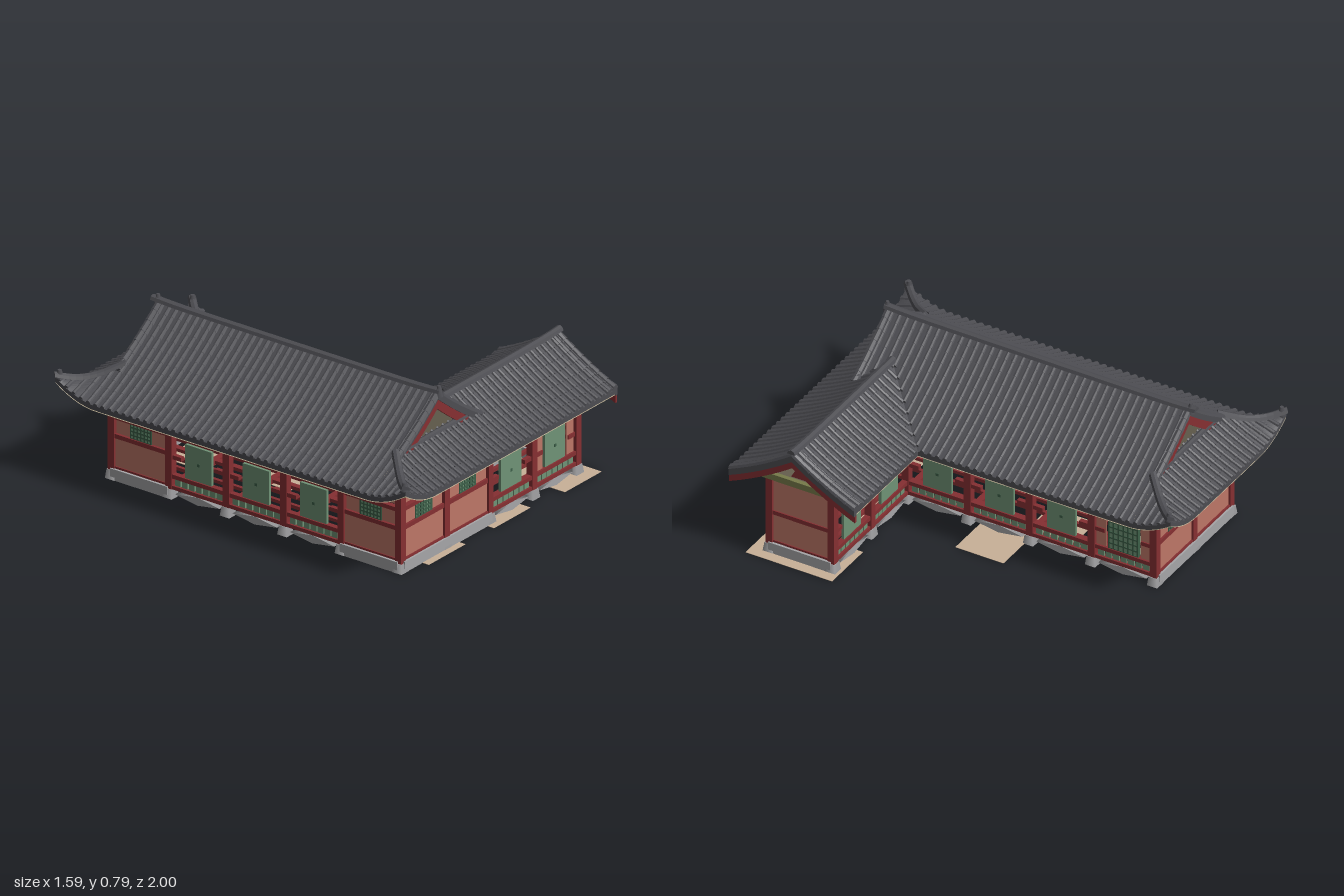
import * as THREE from 'three';

const mat = (name, color, side = THREE.FrontSide) => {
  const m = new THREE.MeshStandardMaterial({ color, side });
  m.name = name;
  return m;
};
const D = THREE.DoubleSide;
const M = {
  tile: mat('charcoal tile', 0x4d4d52, D), red: mat('red timber', 0x862f32), salmon: mat('salmon plaster', 0xbe7767),
  door: mat('green door', 0x709376), lattice: mat('dark green lattice', 0x3d6049), stone: mat('grey stone', 0xa6a6a8),
  slab: mat('beige slab', 0xc9b198), tan: mat('tan soffit', 0xb3a68a, D), olive: mat('olive rafter', 0x777b4a, D),
  gable: mat('olive grey gable', 0x666050),
};

// Roof outline: main hall with hipped gables, and a wing towards +x
const W = -0.785, E = 0.225, ZE = 0.985, CX = -0.28, HALF = 0.505;
const WING0 = 0.33, WINGH = 0.3275, WINGX = 0.775, GZ = 0.78;
const PITCH = 0.323;
const X = [0, 1, 2, 3, 4].map(i => -0.605 + PITCH * i);
const Z = [0, 1, 2, 3, 4, 5].map(i => 0.82 - PITCH * i);

// Concave slope height at distance d from the eave, with sharply upturned corners
const H = d => 0.43 + 0.43 * d + 0.4 * d * d;
const corners = [[W, ZE], [W, -ZE], [E, -ZE]];
const lift = (x, z) => corners.reduce((s, [a, b]) => s + 0.08 * Math.max(0, 1 - Math.hypot(x - a, z - b) / 0.23) ** 2, 0);
const P = (x, z, d, off = 0) => new THREE.Vector3(x, H(d) + lift(x, z) + off, z);
const path = (n, f) => Array.from({ length: n + 1 }, (_, i) => f(i / n));

function quad(pos, a, b, c, d) {
  for (const p of [a, b, c, a, c, d]) pos.push(p.x, p.y, p.z);
}
// Half-round roll along a path; each piece tapers like an overlapping tile
function roll(pos, pts, r, flip = 1, taper = 1) {
  const ring = (p, side, rad) => path(4, t => p.clone().addScaledVector(side, rad * Math.cos(Math.PI * t))
    .add(new THREE.Vector3(0, flip * rad * Math.sin(Math.PI * t), 0)));
  for (let i = 0; i + 1 < pts.length; i++) {
    const side = pts[i + 1].clone().sub(pts[i]).cross(new THREE.Vector3(0, 1, 0)).normalize();
    const A = ring(pts[i], side, r), B = ring(pts[i + 1], side, r * taper);
    for (let k = 0; k < 4; k++) quad(pos, A[k], A[k + 1], B[k + 1], B[k]);
    if (i === 0) quad(pos, A[0], A[1], A[2], A[4]), quad(pos, A[2], A[3], A[4], A[2]);
  }
}
function meshOf(parent, name, material, pos) {
  const g = new THREE.BufferGeometry();
  g.setAttribute('position', new THREE.Float32BufferAttribute(pos, 3));
  g.computeVertexNormals();
  return add(parent, name, material, g);
}
function add(parent, name, material, geo, p = [0, 0, 0]) {
  const m = new THREE.Mesh(geo, material);
  m.name = name;
  m.position.set(...p);
  parent.add(m);
  return m;
}
const box = (parent, name, material, size, p) => add(parent, name, material, new THREE.BoxGeometry(...size), p);

// One roof slope: tiled plate, tan soffit, rolls and rafters
function slope(parent, name, at, segs) {
  const plate = [], under = [], rolls = [], rafters = [];
  const point = (u, d, off) => { const [x, z] = at(u, d); return P(x, z, d, off); };
  for (const [u0, u1, lo, hi] of segs) {
    const L = u => (typeof lo === 'function' ? lo(u) : lo), T = u => (typeof hi === 'function' ? hi(u) : hi);
    const nu = Math.ceil((u1 - u0) / 0.04);
    const pt = (i, j, off) => {
      const u = u0 + (u1 - u0) * i / nu;
      return point(u, L(u) + (T(u) - L(u)) * j / 6, off);
    };
    for (let i = 0; i < nu; i++) {
      for (let j = 0; j < 6; j++) for (const [arr, off] of [[plate, 0], [under, -0.026]])
        quad(arr, pt(i, j, off), pt(i + 1, j, off), pt(i + 1, j + 1, off), pt(i, j + 1, off));
      if (lo === 0) quad(plate, pt(i, 0, 0), pt(i + 1, 0, 0), pt(i + 1, 0, -0.022), pt(i, 0, -0.022));
    }
    const n = Math.round((u1 - u0) / 0.04);
    for (let i = 0; i < n; i++) {
      const u = u0 + (u1 - u0) * (i + 0.5) / n, a = L(u), b = T(u);
      roll(rolls, path(Math.max(1, Math.round((b - a) / 0.045)), t => point(u, a + (b - a) * t, 0)), 0.0125, 1, 0.8);
      if (lo === 0) roll(rafters, path(3, t => point(u, 0.015 + (Math.min(b, 0.2) - 0.015) * t, -0.026)), 0.007, -1);
    }
  }
  meshOf(parent, name + 'Plate', M.tile, plate);
  meshOf(parent, name + 'Soffit', M.tan, under);
  meshOf(parent, name + 'TileRolls', M.tile, rolls);
  meshOf(parent, name + 'Rafters', M.olive, rafters);
}

// Gable facing local +z: infill wall, red bargeboards and a tile edge that follow the slope
function gable(parent, name, half, d0, base, wallMat, wallD, wallZ, boardZ, boardH) {
  const g = new THREE.Group();
  g.name = name;
  parent.add(g);
  const curve = (from, off) => [...path(6, t => from + (half - from) * t).map(d => [d - half, H(d) + off]),
    ...path(6, t => half - (half - from) * t).map(d => [half - d, H(d) + off])];
  const extrude = (pts, depth) => new THREE.ExtrudeGeometry(new THREE.Shape(pts.map(p => new THREE.Vector2(...p))), { depth, bevelEnabled: false });
  const band = (y0, y1, depth) => extrude([...curve(d0, y0), ...curve(d0, y1).reverse()], depth);
  add(g, 'gableWall', wallMat, extrude([[wallD - half, base], [half - wallD, base], ...curve(wallD, -0.02).reverse()], 0.008), [0, 0, wallZ]);
  add(g, 'bargeboards', M.red, band(-0.03 - boardH, -0.03, 0.012), [0, 0, boardZ]);
  add(g, 'vergeTiles', M.tile, band(-0.03, 0.006, 0.018), [0, 0, boardZ]);
  return g;
}

// One wall bay, facing local +z
function bay(parent, type, x, z, turn) {
  const g = new THREE.Group();
  g.name = type + 'Bay';
  g.position.set(x, 0, z);
  g.rotation.y = turn;
  parent.add(g);
  const w = PITCH - 0.034;
  const panel = (name, m, bw, y0, y1, px = 0, t = 0.014, pz = 0) => box(g, name, m, [bw, y1 - y0, t], [px, (y0 + y1) / 2, pz]);
  panel('topBeam', M.olive, PITCH, 0.39, 0.41, 0, 0.026);
  if (type !== 'solid') {
    panel('lintel', M.red, w, 0.376, 0.39, 0, 0.026);
    panel('frieze', M.tan, PITCH, 0.41, 0.48);
  }
  const latticeAt = (bw, y0, y1, nx, ny) => {
    panel('windowPane', M.door, bw, y0, y1, 0, 0.01);
    for (let i = 0; i <= nx; i++) panel('latticeBar', M.lattice, 0.008, y0, y1, bw * (i / nx - 0.5), 0.018);
    for (let j = 0; j <= ny; j++) {
      const y = y0 + (y1 - y0) * j / ny;
      panel('latticeBar', M.lattice, bw, y - 0.004, y + 0.004, 0, 0.018);
    }
  };
  if (type === 'window' || type === 'solid') {
    panel('stoneBase', M.stone, PITCH, 0, 0.055, 0, 0.05);
    panel('sill', M.red, w, 0.055, 0.065, 0, 0.026);
    panel('lowerPanel', M.salmon, w, 0.065, 0.205);
    panel('middleRail', M.red, w, 0.205, 0.226, 0, 0.028);
  }
  if (type === 'solid') panel('upperPanel', M.salmon, w, 0.226, 0.39);
  if (type === 'window') {
    latticeAt(0.115, 0.226, 0.3, 6, 4);
    for (const s of [-1, 1]) panel('sidePanel', M.salmon, 0.075, 0.23, 0.298, s * 0.1);
    panel('upperRail', M.red, w, 0.298, 0.318, 0, 0.028);
    panel('upperPanel', M.salmon, w, 0.332, 0.376);
  }
  if (type === 'open' || type === 'lattice' || type === 'jamb') {
    // Balustrade below, hung door leaf above, open gaps at the sides
    const foot = add(g, 'footStone', M.stone, new THREE.CylinderGeometry(1, 1, 0.03, 4).rotateX(Math.PI / 2), [0, 0.025, 0]);
    foot.scale.set(0.125, 0.02, 1);
    panel('floorBeam', M.red, w, 0.045, 0.063, 0, 0.03);
    panel('balustradeRail', M.red, w, 0.098, 0.118, 0, 0.028);
    for (let i = 0; i < 7; i++) panel('baluster', M.door, 0.032, 0.063, 0.098, (i - 3) * 0.039, 0.01);
    panel('upperPanel', M.salmon, w, 0.303, 0.376);
    if (type === 'lattice') latticeAt(0.15, 0.118, 0.292, 6, 6);
    else {
      panel('doorLeaf', M.door, 0.148, 0.118, 0.285, 0, 0.014);
      panel('doorHandle', M.lattice, 0.014, 0.193, 0.207, 0, 0.018);
    }
    for (const s of [-1, 1]) {
      panel('sideRail', M.red, 0.05, 0.192, 0.212, s * 0.12, 0.022);
      if (type !== 'open') panel('sidePanel', M.salmon, 0.05, 0.118, 0.285, s * 0.115, 0.008);
    }
  }
}

export function createModel() {
  const root = new THREE.Group();
  root.name = 'tiledHall';
  const group = name => { const g = new THREE.Group(); g.name = name; root.add(g); return g; };

  // Roof slopes
  const roof = group('roof');
  const wEnd = WING0 + WINGH, wStart = E - WINGH;
  slope(roof, 'eastSlope', (z, d) => [E - d, z], [[-ZE, -GZ, 0, u => u + ZE], [-GZ, WING0, 0, HALF],
    [WING0, wEnd, u => u - WING0, HALF], [wEnd, GZ, u => ZE - u, HALF]]);
  slope(roof, 'westSlope', (z, d) => [W + d, z], [[-ZE, -GZ, 0, u => u + ZE], [-GZ, GZ, 0, HALF], [GZ, ZE, 0, u => ZE - u]]);
  slope(roof, 'backApron', (x, d) => [x, d - ZE], [[W, W + 0.24, 0, u => u - W], [W + 0.24, E - 0.24, 0, 0.24], [E - 0.24, E, 0, u => E - u]]);
  slope(roof, 'frontSlope', (x, d) => [x, ZE - d], [[W, W + 0.24, 0, u => u - W], [W + 0.24, wStart, 0, 0.24], [wStart, WINGX, 0, WINGH]]);
  slope(roof, 'wingBackSlope', (x, d) => [x, WING0 + d], [[wStart, E, u => E - u, WINGH], [E, WINGX, 0, WINGH]]);

  // Ridges, hips and verges
  const caps = [];
  const V = (x, y, z) => new THREE.Vector3(x, y, z);
  roll(caps, path(24, t => V(CX, H(HALF) + 0.008 * Math.abs(2 * t - 1) ** 8, -0.82 + 1.62 * t)), 0.021);
  roll(caps, path(14, t => V(WINGX + 0.008 - 0.89 * t, H(WINGH) + 0.004 + 0.01 * (1 - t) ** 8, wEnd)), 0.021);
  for (const [x, z] of corners) {
    const sx = x < CX ? 1 : -1, sz = -Math.sign(z);
    roll(caps, path(10, t => { const d = -0.002 + 0.225 * t; return P(x + sx * d, z + sz * d, Math.max(d, 0), 0.01); }), 0.02);
    add(roof, 'hipFinial', M.tile, new THREE.CylinderGeometry(0.01, 0.02, 0.04, 6), [x + sx * 0.015, 0.525, z + sz * 0.015]);
  }
  for (const s of [-1, 1]) {
    for (const e of [-1, 1]) roll(caps, path(7, t => { const d = 0.19 + (HALF - 0.19) * t; return V(CX + s * (HALF - d), H(d) + 0.002, e * GZ); }), 0.02, 1, 0.85);
    roll(caps, path(7, t => V(WINGX - 0.01, H(WINGH * t) + 0.004, wEnd + s * WINGH * (1 - t))), 0.019, 1, 0.85);
    roll(caps, path(7, t => V(WINGX - 0.045, H(WINGH * t) + 0.002, wEnd + s * WINGH * (1 - t))), 0.015, 1, 0.85);
    roll(caps, path(10, t => V(W + 0.22 + 0.58 * t, H(0.215) + 0.008, s * (ZE - 0.215))), 0.015);
    add(roof, 'ridgeFinial', M.tile, new THREE.CylinderGeometry(0.008, 0.022, 0.05, 6), [CX, 0.763, s * 0.79]);
  }
  meshOf(roof, 'ridgeCaps', M.tile, caps);

  // Gables
  for (const turn of [0, Math.PI]) {
    const g = gable(roof, turn ? 'backGable' : 'frontGable', HALF, 0.215, 0.53, M.gable, 0.225, 0.742, 0.768, 0.048);
    g.position.x = CX;
    g.rotation.y = turn;
  }
  const wg = gable(roof, 'wingGable', WINGH, 0, 0.41, M.tan, 0.15, 0.69, 0.762, 0.036);
  wg.position.z = wEnd;
  wg.rotation.y = Math.PI / 2;
  add(wg, 'gableOrnament', M.red, new THREE.CylinderGeometry(0.052, 0.052, 0.008, 3).rotateX(-Math.PI / 2), [0, 0.475, 0.703]);
  box(wg, 'gableBeam', M.olive, [0.4, 0.032, 0.04], [0, 0.42, 0.7]);
  for (const s of [-1, 0, 1]) box(wg, 'purlin', M.olive, [0.024, 0.024, 0.07], [s * 0.17, s ? 0.45 : 0.55, 0.715]);

  // Wall bays
  const walls = group('walls');
  const mx = i => (X[i] + X[i + 1]) / 2, mz = i => (Z[i] + Z[i + 1]) / 2;
  ['window', 'window', 'open', 'jamb'].forEach((t, i) => bay(walls, t, mx(i), Z[0], 0));
  bay(walls, 'solid', X[4], mz(0), Math.PI / 2);
  for (const i of [2, 3]) bay(walls, 'open', mx(i), Z[1], Math.PI);
  ['open', 'open', 'open', 'lattice'].forEach((t, i) => bay(walls, t, X[2], mz(i + 1), Math.PI / 2));
  ['window', 'open', 'open', 'open', 'window'].forEach((t, i) => bay(walls, t, X[0], mz(i), -Math.PI / 2));
  for (const i of [0, 1]) bay(walls, 'window', mx(i), Z[5], Math.PI);

  // Posts on tapered stones, tie beams with projecting ends, and floor joists
  const frame = group('frame');
  const post = (x, z) => {
    box(frame, 'post', M.red, [0.036, 0.365, 0.036], [x, 0.2225, z]);
    add(frame, 'postStone', M.stone, new THREE.CylinderGeometry(0.03, 0.038, 0.045, 4).rotateY(Math.PI / 4), [x, 0.0225, z]);
  };
  Z.forEach((z, j) => X.forEach((x, i) => {
    if (i > 2 ? j < 2 : i !== 1 || j === 0 || j === 5) post(x, z);
  }));
  for (const z of Z) {
    box(frame, 'tieBeam', M.olive, [2 * PITCH + 0.12, 0.024, 0.028], [X[1], 0.398, z]);
    box(frame, 'floorCrossBeam', M.red, [2 * PITCH, 0.022, 0.03], [X[1], 0.052, z]);
  }
  for (const x of [X[0], X[2]]) box(frame, 'longBeam', M.olive, [0.028, 0.024, 5 * PITCH + 0.12], [x, 0.4, mz(2)]);
  for (let i = 1; i < 8; i++) box(frame, 'floorJoist', M.red, [i === 4 ? 0.03 : 0.018, 0.016, 5 * PITCH], [X[0] + i * PITCH / 4, 0.055, mz(2)]);
  for (let i = 1; i < 4; i++) box(frame, 'wingJoist', M.red, [2 * PITCH, 0.016, 0.018], [X[3], 0.055, Z[1] + i * PITCH / 4]);
  box(frame, 'wingTieBeam', M.olive, [0.028, 0.024, PITCH + 0.12], [X[3], 0.398, mz(0)]);

  // Name board left blank, under the east eave
  const board = group('nameBoard');
  box(board, 'boardFrame', M.lattice, [0.014, 0.06, 0.23], [0.078, 0.375, 0.02]);
  box(board, 'boardFace', M.tile, [0.006, 0.044, 0.21], [0.084, 0.375, 0.02]);

  // Ground slabs
  const slabs = group('groundSlabs');
  for (const [x, z, w, d] of [[0.63, 0.68, 0.27, 0.45], [0.14, 0.73, 0.27, 0.3], [-0.34, 0.73, 0.27, 0.3],
    [0.12, -0.005, 0.26, 0.25], [-0.12, -0.2, 0.24, 0.24], [-0.2, -0.64, 0.22, 0.2]])
    box(slabs, 'groundSlab', M.slab, [w, 0.002, d], [x, 0.001, z]);
  return root;
}
